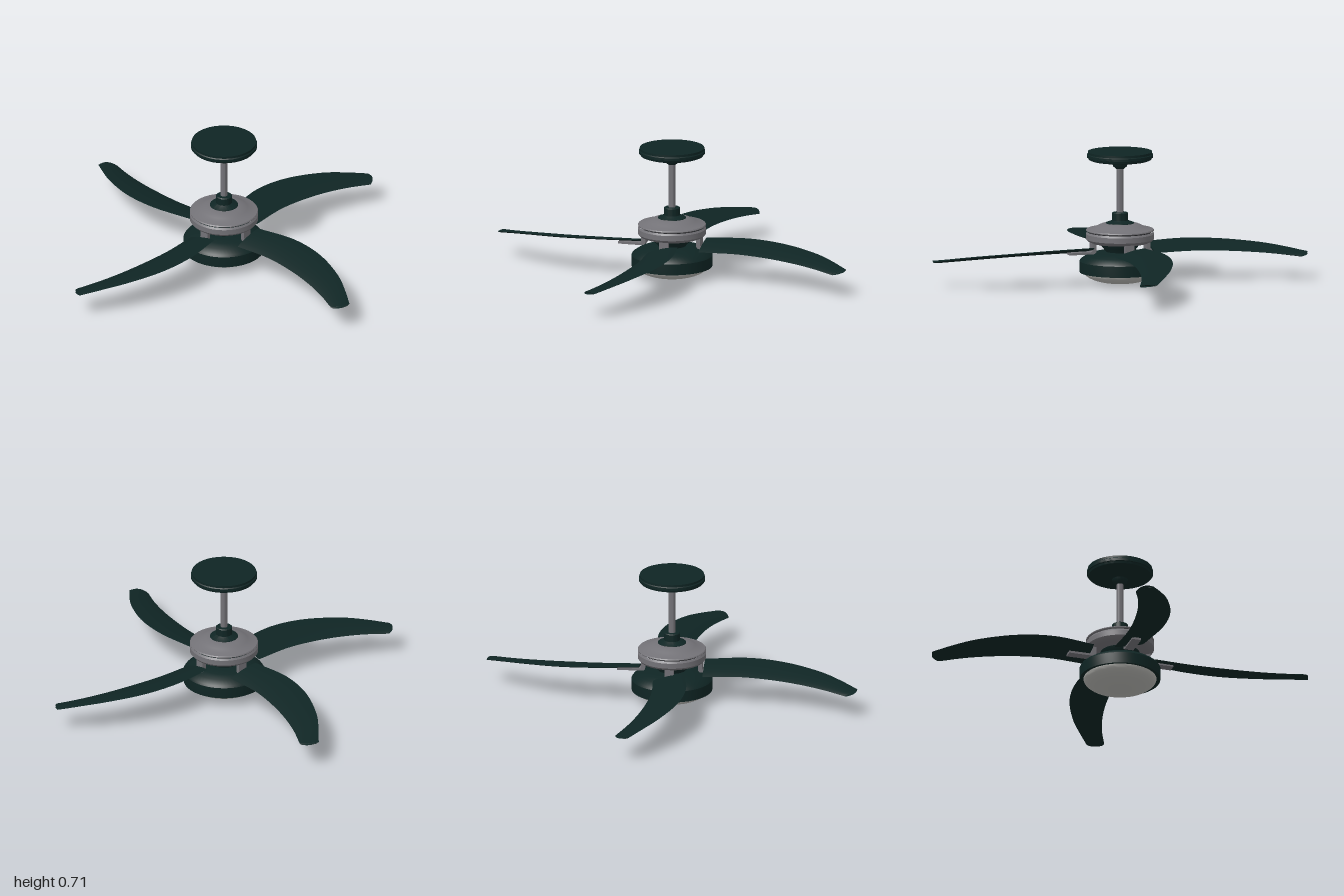
import * as THREE from 'three';
import { toCreasedNormals } from 'three/addons/utils/BufferGeometryUtils.js';

const material = (name, color) => Object.assign(new THREE.MeshStandardMaterial({ color }), { name });

// Turned part from [radius, height] pairs, bottom to top
function turned(name, profile, mat) {
  const geo = new THREE.LatheGeometry(profile.map(([r, y]) => new THREE.Vector2(r, y)), 64);
  const mesh = new THREE.Mesh(toCreasedNormals(geo, 0.6), mat);
  mesh.name = name;
  return mesh;
}

const curve = (pts) => new THREE.CatmullRomCurve3(pts.map((p) => new THREE.Vector3(...p)));

// Swept, pitched blade lofted between a high leading edge and a low trailing edge
function bladeGeometry() {
  const lead = curve([[0.17, 0.204, -0.08], [0.4, 0.205, -0.113], [0.6, 0.195, -0.088], [0.8, 0.176, -0.005], [0.9, 0.16, 0.06], [1.0, 0.139, 0.135]]);
  const trail = curve([[0.17, 0.162, 0.085], [0.38, 0.163, 0.075], [0.56, 0.157, 0.095], [0.7, 0.148, 0.125], [0.82, 0.138, 0.163], [0.935, 0.126, 0.212]]);
  const along = 36, across = 10, ring = across * 2;
  const pos = [], index = [];
  for (let i = 0; i <= along; i++) {
    const t = i / along;
    const a = lead.getPoint(t), b = trail.getPoint(t);
    const bulge = 0.016 * Math.pow(t, 12);
    for (let k = 0; k < ring; k++) {
      const top = k <= across;
      const v = top ? k / across : (ring - k) / across;
      const arch = Math.sin(Math.PI * v);
      const p = a.clone().lerp(b, v);
      const half = 0.002 + 0.004 * Math.sqrt(Math.max(arch, 0));
      pos.push(p.x + bulge * arch, p.y + 0.004 * arch + (top ? half : -half), p.z + bulge * arch * 0.8);
    }
  }
  for (let i = 0; i < along; i++) {
    for (let k = 0; k < ring; k++) {
      const a = i * ring + k, b = i * ring + (k + 1) % ring;
      index.push(a, b, a + ring, b, b + ring, a + ring);
    }
  }
  // root and tip caps
  const last = along * ring;
  for (let k = 1; k < ring - 1; k++) {
    index.push(0, k + 1, k, last, last + k, last + k + 1);
  }
  const geo = new THREE.BufferGeometry();
  geo.setAttribute('position', new THREE.Float32BufferAttribute(pos, 3));
  geo.setIndex(index);
  return toCreasedNormals(geo, 0.8);
}

// Bent arm: drops from the motor, then runs outward under the blade
function bracketGeometry() {
  const s = new THREE.Shape();
  s.moveTo(0.14, 0.235);
  s.lineTo(0.14, 0.185);
  s.quadraticCurveTo(0.14, 0.165, 0.16, 0.165);
  s.lineTo(0.29, 0.165);
  s.lineTo(0.29, 0.177);
  s.lineTo(0.172, 0.177);
  s.quadraticCurveTo(0.163, 0.177, 0.163, 0.187);
  s.lineTo(0.163, 0.235);
  s.closePath();
  const geo = new THREE.ExtrudeGeometry(s, { depth: 0.05, bevelEnabled: false, curveSegments: 8 });
  return geo.translate(0, 0, -0.025);
}

export function createModel() {
  const fan = new THREE.Group();
  fan.name = 'ceilingFan';
  const green = material('darkGreen', 0x0f2524);
  const metal = material('brushedMetal', 0x737277);
  const glass = material('frostedGlass', 0xb4b4b0);
  const shadow = material('charcoalTrim', 0x232427);

  // Ceiling mount, rod and coupling
  fan.add(turned('canopy', [
    [0, 0.612], [0.022, 0.614], [0.036, 0.626], [0.042, 0.643], [0.06, 0.646], [0.15, 0.658],
    [0.166, 0.664], [0.17, 0.674], [0.176, 0.676], [0.176, 0.69], [0.171, 0.694], [0.171, 0.706], [0, 0.706],
  ], green));
  fan.add(turned('downRod', [[0.018, 0.34], [0.018, 0.63]], metal));
  fan.add(turned('coupling', [
    [0.078, 0.31], [0.074, 0.325], [0.05, 0.334], [0.043, 0.338], [0.043, 0.376], [0.038, 0.38], [0, 0.38],
  ], green));

  // Motor housing with a dark seam
  fan.add(turned('motorHousing', [
    [0, 0.215], [0.11, 0.215], [0.15, 0.218], [0.172, 0.227], [0.181, 0.238], [0.181, 0.266], [0.174, 0.276],
  ], metal));
  fan.add(turned('motorSeam', [[0.168, 0.274], [0.168, 0.284]], shadow));
  fan.add(turned('motorCover', [
    [0.16, 0.281], [0.179, 0.281], [0.181, 0.285], [0.177, 0.29], [0.145, 0.296], [0.125, 0.306],
    [0.1, 0.317], [0.075, 0.322], [0, 0.322],
  ], metal));

  // Switch housing and lamp
  fan.add(turned('neck', [[0.07, 0.15], [0.075, 0.172], [0.095, 0.195], [0.105, 0.218]], green));
  fan.add(turned('lampHousing', [
    [0.188, 0.064], [0.214, 0.06], [0.215, 0.09], [0.215, 0.12], [0.208, 0.13], [0.178, 0.15],
    [0.14, 0.163], [0.1, 0.17], [0, 0.172],
  ], green));
  const bowl = [];
  for (let i = 0; i <= 14; i++) {
    const a = (i / 14) * Math.PI / 2;
    bowl.push([0.194 * Math.sin(a), 0.066 * (1 - Math.cos(a))]);
  }
  fan.add(turned('lampGlass', bowl, glass));

  // Four blades, each on its bracket
  const bladeGeo = bladeGeometry(), bracketGeo = bracketGeometry();
  for (let i = 0; i < 4; i++) {
    const arm = new THREE.Group();
    arm.name = 'bladeArm' + (i + 1);
    const blade = new THREE.Mesh(bladeGeo, green);
    blade.name = 'blade';
    const bracket = new THREE.Mesh(bracketGeo, metal);
    bracket.name = 'bladeBracket';
    arm.add(blade, bracket);
    arm.rotation.y = i * Math.PI / 2;
    fan.add(arm);
  }
  return fan;
}
